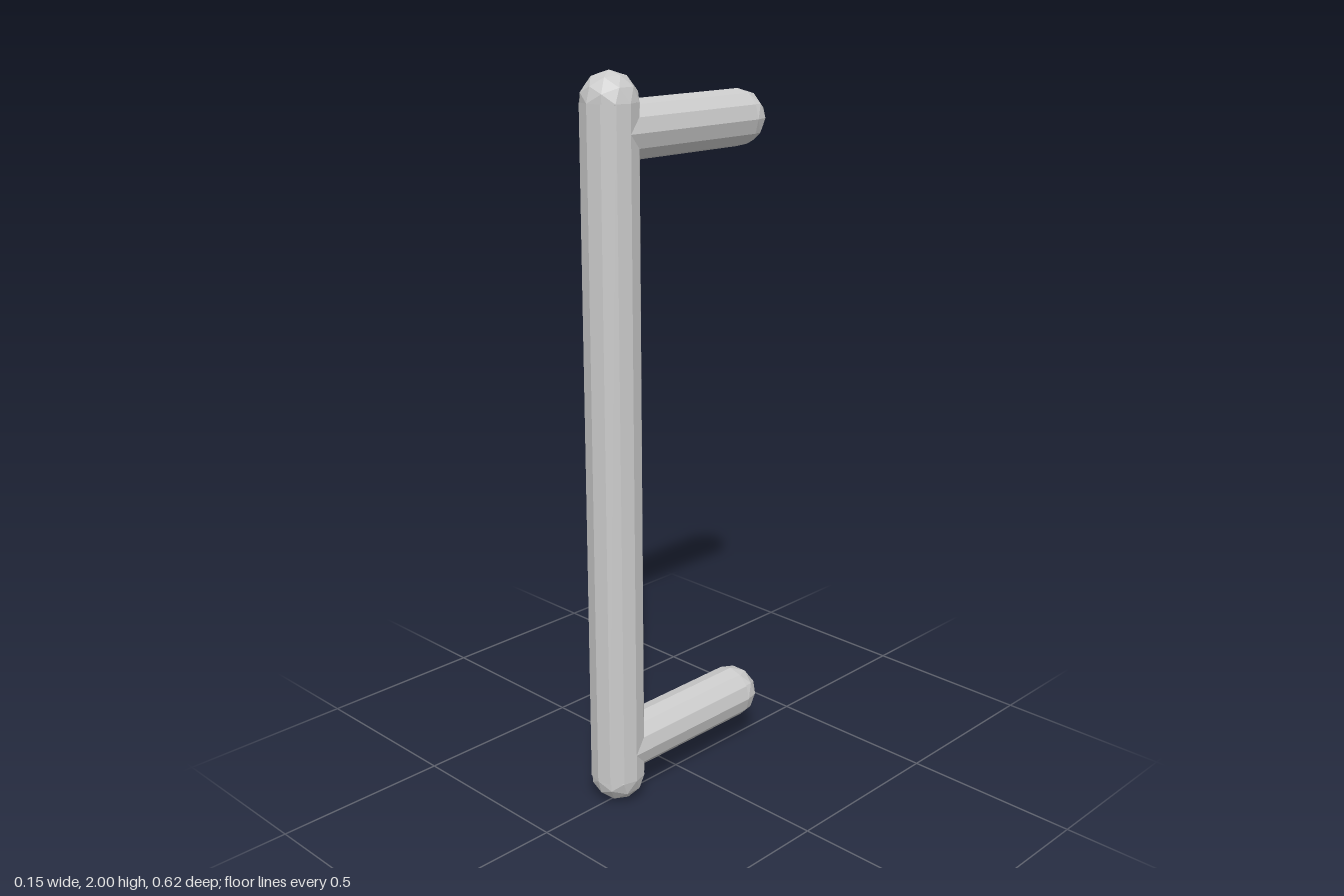
import * as THREE from 'three';

const R = 0.076;       // shared tube radius
const BAR_Z = 0.232;   // grip axis
const BACK_Z = -0.233; // centre of the mount ends

export function createModel() {
  const model = new THREE.Group();
  model.name = 'pullHandle';
  const material = new THREE.MeshStandardMaterial({ color: 0xcccccc, flatShading: true });

  const add = (name, geometry, x, y, z) => {
    const mesh = new THREE.Mesh(geometry, material);
    mesh.name = name;
    mesh.position.set(x, y, z);
    model.add(mesh);
    return mesh;
  };

  // Upright grip, open at the ends where the round caps close it
  add('gripBar', new THREE.CylinderGeometry(R, R, 2 - 2 * R, 12, 1, true), 0, 1, BAR_Z);

  const cap = new THREE.IcosahedronGeometry(R, 1);
  const length = BAR_Z - BACK_Z;
  const post = new THREE.CylinderGeometry(R, R, length, 12, 1, true).rotateX(Math.PI / 2);

  // Upper and lower ends: grip cap, mounting post and its rounded tip
  for (const [side, capY, postY] of [['upper', 2 - R, 1.85], ['lower', R, 0.155]]) {
    add(side + 'GripCap', cap, 0, capY, BAR_Z);
    add(side + 'Post', post, 0, postY, (BAR_Z + BACK_Z) / 2);
    add(side + 'PostCap', cap, 0, postY, BACK_Z);
  }
  return model;
}
